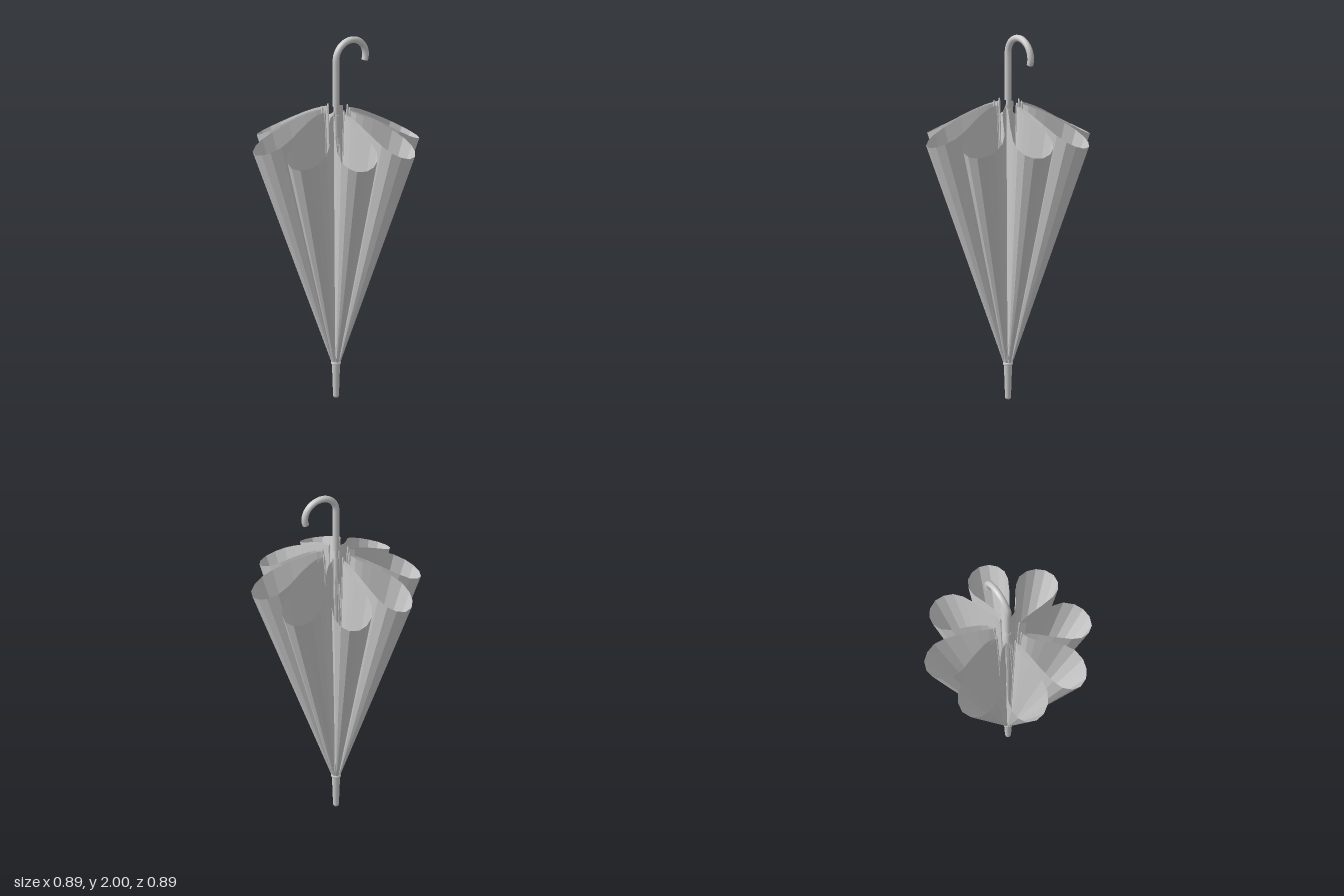
import * as THREE from 'three';

export function createModel() {
  const model = new THREE.Group();
  const smooth = new THREE.MeshStandardMaterial({ color: 0xcccccc });
  const cloth = new THREE.MeshStandardMaterial({ color: 0xcccccc, flatShading: true, side: THREE.DoubleSide });
  const add = (name, geometry, material = smooth, parent = model) => {
    const mesh = new THREE.Mesh(geometry, material);
    mesh.name = name;
    parent.add(mesh);
    return mesh;
  };
  const lathe = (pts, n = 16) => new THREE.LatheGeometry(pts.map(([r, y]) => new THREE.Vector2(r, y)), n);
  const rod = (pts, r, segs = 1) => new THREE.TubeGeometry(
    new THREE.CatmullRomCurve3(pts.map(p => new THREE.Vector3(...p))), segs, r, 6);

  // Hooked handle: a straight grip and an arc a little over half a turn
  const R = 0.096, path = [[0, 1.63, 0], [0, 1.72, 0], [0, 1.8, 0]];
  for (let i = 0; i <= 16; i++) {
    const a = Math.PI - (i / 16) * Math.PI * 1.11;
    path.push([R + R * Math.cos(a), 1.886 + R * Math.sin(a), 0]);
  }
  const curve = new THREE.CatmullRomCurve3(path.map(p => new THREE.Vector3(...p)));
  add('handle', new THREE.TubeGeometry(curve, 48, 0.018, 12));
  [[0, Math.PI / 2], [1, -Math.PI / 2]].forEach(([t, turn]) => {
    const cap = add('handleEnd', new THREE.CircleGeometry(0.018, 12), cloth);
    cap.position.copy(curve.getPointAt(t));
    cap.lookAt(cap.position.clone().add(curve.getTangentAt(t).multiplyScalar(turn > 0 ? -1 : 1)));
  });

  // Shaft, sliding runner and ferrule
  add('shaft', lathe([[0.012, 0.18], [0.012, 1.64]], 12));
  add('runner', lathe([[0.012, 1.42], [0.02, 1.42], [0.02, 1.48], [0.016, 1.49], [0.016, 1.58], [0.012, 1.58]], 12));
  add('ferrule', lathe([[0, 0], [0.014, 0], [0.016, 0.01], [0.022, 0.185], [0.027, 0.187], [0.027, 0.2], [0.012, 0.21]]));

  // Rim of one hanging fold as [x, z], from one rib to the next
  const rim = [[0.075, 0], [0.11, 0.012], [0.15, 0.012], [0.2, 0.005], [0.25, -0.005], [0.3, -0.015],
    [0.36, -0.01], [0.41, 0.022], [0.437, 0.065], [0.444, 0.115], [0.425, 0.165], [0.385, 0.195],
    [0.335, 0.205], [0.28, 0.19], [0.2, 0.145], [0.13, 0.098], [0.08, 0.067], [0.053, 0.053]];
  const rows = 10, cols = rim.length, pos = [], idx = [];
  for (let j = 0; j <= rows; j++) {
    const s = j / rows;
    rim.forEach(([x, z]) => {
      const r = Math.hypot(x, z), t = Math.max(0, (r - 0.075) / 0.37);
      const top = 1.61 - 0.19 * Math.pow(t, 1.25);
      const k = THREE.MathUtils.lerp(0.024 / r, 1, s); // narrows to the ferrule
      pos.push(x * k, THREE.MathUtils.lerp(0.195, top, s), z * k);
    });
  }
  for (let j = 0; j < rows; j++) for (let i = 0; i < cols - 1; i++) {
    const a = j * cols + i, b = a + 1, c = a + cols, d = c + 1;
    idx.push(a, c, b, b, c, d);
  }
  const fold = new THREE.BufferGeometry();
  fold.setAttribute('position', new THREE.Float32BufferAttribute(pos, 3));
  fold.setIndex(idx);
  fold.computeVertexNormals();

  // Eight folds, each with its rib, rib tip and stretcher
  const rib = rod([[0.02, 0.2, 0], [0.071, 1.6, 0]], 0.004);
  const tip = lathe([[0, -0.03], [0.006, -0.03], [0.006, 0.01], [0.003, 0.025], [0, 0.027]], 8);
  const stretcher = rod([[0.018, 1.46, 0], [0.046, 0.95, 0]], 0.003);
  for (let i = 0; i < 8; i++) {
    const section = new THREE.Group();
    section.name = 'canopySection';
    section.rotation.y = -i * Math.PI / 4;
    add('canopyFold', fold, cloth, section);
    add('rib', rib, smooth, section);
    add('ribTip', tip, smooth, section).position.set(0.074, 1.6, 0);
    add('stretcher', stretcher, smooth, section);
    model.add(section);
  }
  return model;
}
